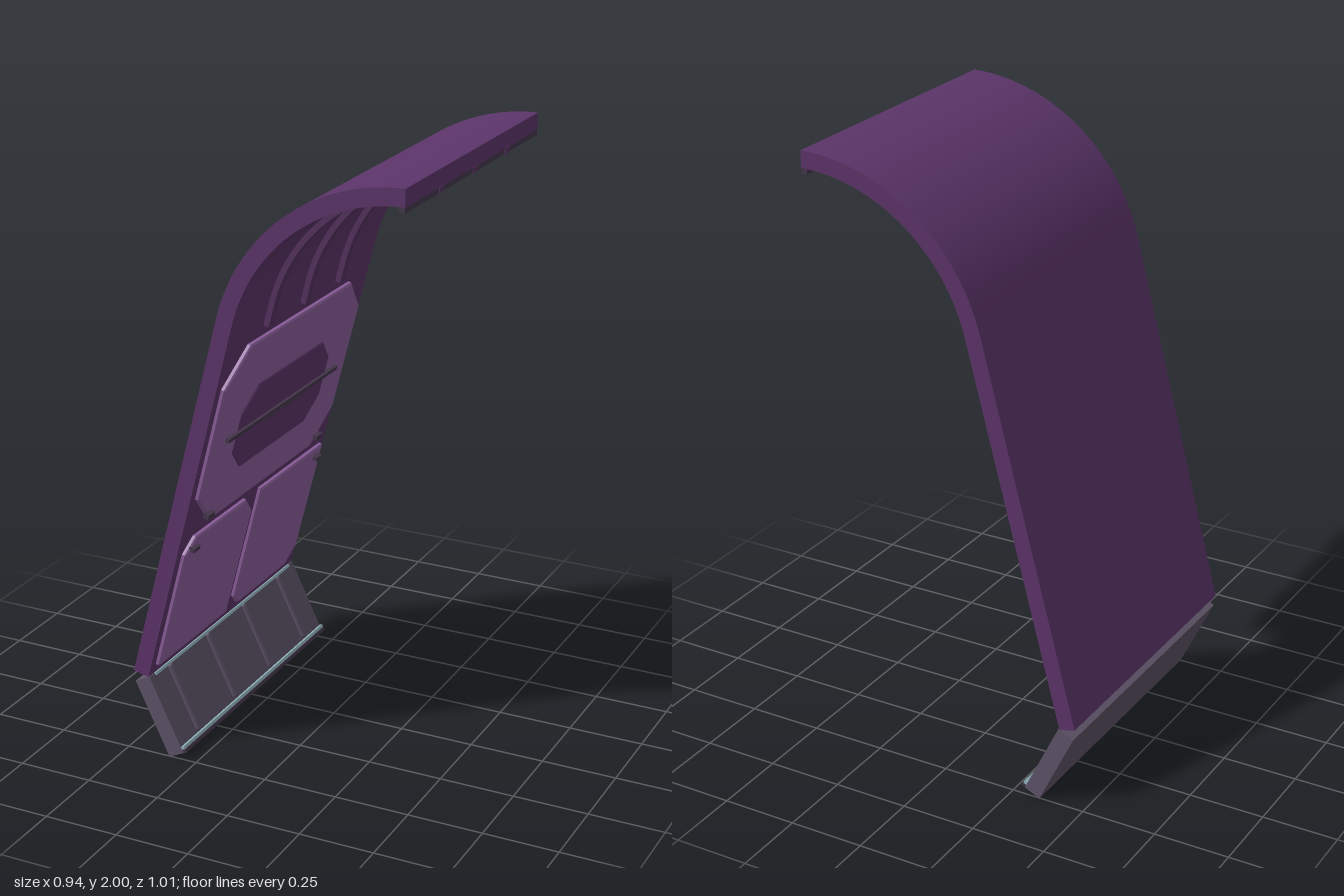
import * as THREE from 'three';
import { toCreasedNormals } from 'three/addons/utils/BufferGeometryUtils.js';

const mat = (name, color) => Object.assign(new THREE.MeshStandardMaterial({ color }), { name });

const HALF = 0.503;               // half length along z
const DX = 0.2546, DY = 0.967;    // direction up the sloping wall
const CX = 0.47, CY = 1.365;      // centre of the roof curve
const R = 0.635, THICK = 0.055;

// Straight run that bends into a quarter-like curve, extruded along z
function curvedBand(outer, inner, tail, depth) {
  const a = Math.atan2(DX, -DY);
  const at = (r, t) => [CX - DY * r - DX * t, CY + DX * r - DY * t];
  const s = new THREE.Shape();
  s.moveTo(...at(outer, tail));
  s.lineTo(...at(outer, 0));
  s.absarc(CX, CY, outer, a, Math.PI / 2, true);
  s.absarc(CX, CY, inner, Math.PI / 2, a, false);
  s.lineTo(...at(inner, tail));
  s.closePath();
  const g = new THREE.ExtrudeGeometry(s, { depth, bevelEnabled: false, curveSegments: 28 });
  g.translate(0, 0, -depth / 2);
  return toCreasedNormals(g, 0.5);
}

// Rectangle with cut corners: top left, top right, bottom right, bottom left
function cutRect(x0, x1, y0, y1, [tl, tr, br, bl]) {
  const pts = [[x0 + bl, y0], [x1 - br, y0], [x1, y0 + br], [x1, y1 - tr],
    [x1 - tr, y1], [x0 + tl, y1], [x0, y1 - tl], [x0, y0 + bl]];
  const kept = pts.filter((p, i) => {
    const q = pts[(i + 1) % pts.length];
    return Math.hypot(p[0] - q[0], p[1] - q[1]) > 1e-6;
  });
  return new THREE.Shape(kept.map((p) => new THREE.Vector2(...p)));
}

// Group on a sloping face: local x runs to -z, y up the slope, z out of the face
function slopeFrame(name, x, y, dx, dy) {
  const g = new THREE.Group();
  g.name = name;
  const m = new THREE.Matrix4().makeBasis(
    new THREE.Vector3(0, 0, -1), new THREE.Vector3(dx, dy, 0), new THREE.Vector3(dy, -dx, 0));
  g.quaternion.setFromRotationMatrix(m);
  g.position.set(x, y, 0);
  return g;
}

export function createModel() {
  const wall = mat('wall purple', 0x5b3469);
  const panel = mat('panel light purple', 0x8b5e9b);
  const rib = mat('rib purple', 0x54315f);
  const base = mat('base grey', 0x5d5267);
  const dark = mat('dark fittings', 0x43364a);
  const trim = mat('pale blue trim', 0x8fb0b9);

  const root = new THREE.Group();
  root.name = 'curvedWallSection';
  const add = (parent, name, geo, material, x = 0, y = 0, z = 0) => {
    const m = new THREE.Mesh(geo, material);
    m.name = name;
    m.position.set(x, y, z);
    parent.add(m);
    return m;
  };
  const box = (parent, name, material, w, h, d, x, y, z) =>
    add(parent, name, new THREE.BoxGeometry(w, h, d), material, x, y, z);

  // Outer shell: sloping wall and curved roof
  add(root, 'shell', curvedBand(R, R - THICK, 1.279, HALF * 2), wall);
  for (const z of [-0.25, 0, 0.25]) {
    add(root, 'roofRib', curvedBand(R - THICK + 0.002, R - THICK - 0.017, 0.075, 0.034), rib, 0.002, 0, z);
  }
  box(root, 'roofEdgeLip', dark, 0.02, 0.02, HALF * 2, 0.459, 1.938, 0);

  // Panels on the inner face of the wall
  const inner = slopeFrame('innerWall', -0.416, 0.277, DX, DY);
  root.add(inner);
  const v = (y) => (y - 0.277) / DY;
  const plate = (name, shape, depth, material) => {
    const b = 0.005;
    add(inner, name, new THREE.ExtrudeGeometry(shape, {
      depth: depth - b, bevelThickness: b, bevelSize: b, bevelOffset: -b, bevelSegments: 1,
    }), material);
  };
  plate('upperPanel', cutRect(-0.47, 0.47, v(0.8), v(1.405), [0.118, 0.118, 0.118, 0.118]), 0.015, panel);
  plate('windowPlate', cutRect(-0.305, 0.305, v(0.94), v(1.235), [0.08, 0.08, 0.08, 0.08]), 0.019, wall);
  plate('lowerPanelLeft', cutRect(-0.47, -0.02, v(0.31), v(0.765), [0.05, 0.065, 0, 0]), 0.015, panel);
  plate('lowerPanelRight', cutRect(0.02, 0.47, v(0.31), v(0.765), [0, 0, 0.06, 0.04]), 0.015, panel);

  // Rail across the window, and small latches
  box(inner, 'windowRail', dark, 0.76, 0.014, 0.012, 0, v(1.093), 0.022);
  box(inner, 'railGrip', dark, 0.28, 0.008, 0.014, 0, v(1.083), 0.022);
  for (const s of [-1, 1]) {
    box(inner, 'upperLatch', dark, 0.04, 0.018, 0.02, s * 0.38, v(0.832), 0.02);
    box(inner, 'lowerLatch', dark, 0.04, 0.014, 0.02, s * 0.43, v(0.732), 0.02);
  }

  // Base skirt leaning the other way
  const L = 0.275;
  const skirt = slopeFrame('baseSkirt', -0.294, 0.029, -0.43, 0.903);
  root.add(skirt);
  box(skirt, 'skirtPanel', base, HALF * 2, L, 0.058, 0, L / 2, -0.029);
  for (const x of [-0.38, -0.127, 0.127, 0.38]) {
    const g = new THREE.CapsuleGeometry(0.013, 0.22, 4, 10);
    g.scale(1, 1, 0.65);
    add(skirt, 'skirtRib', g, base, x, 0.147, 0);
  }
  box(skirt, 'skirtFootLip', dark, HALF * 2, 0.012, 0.016, 0, 0.006, 0.006);
  box(skirt, 'lowerTrim', trim, HALF * 2, 0.01, 0.012, 0, 0.017, 0.006);
  box(skirt, 'upperTrim', trim, 0.94, 0.009, 0.008, 0, L - 0.004, 0.001);

  return root;
}
